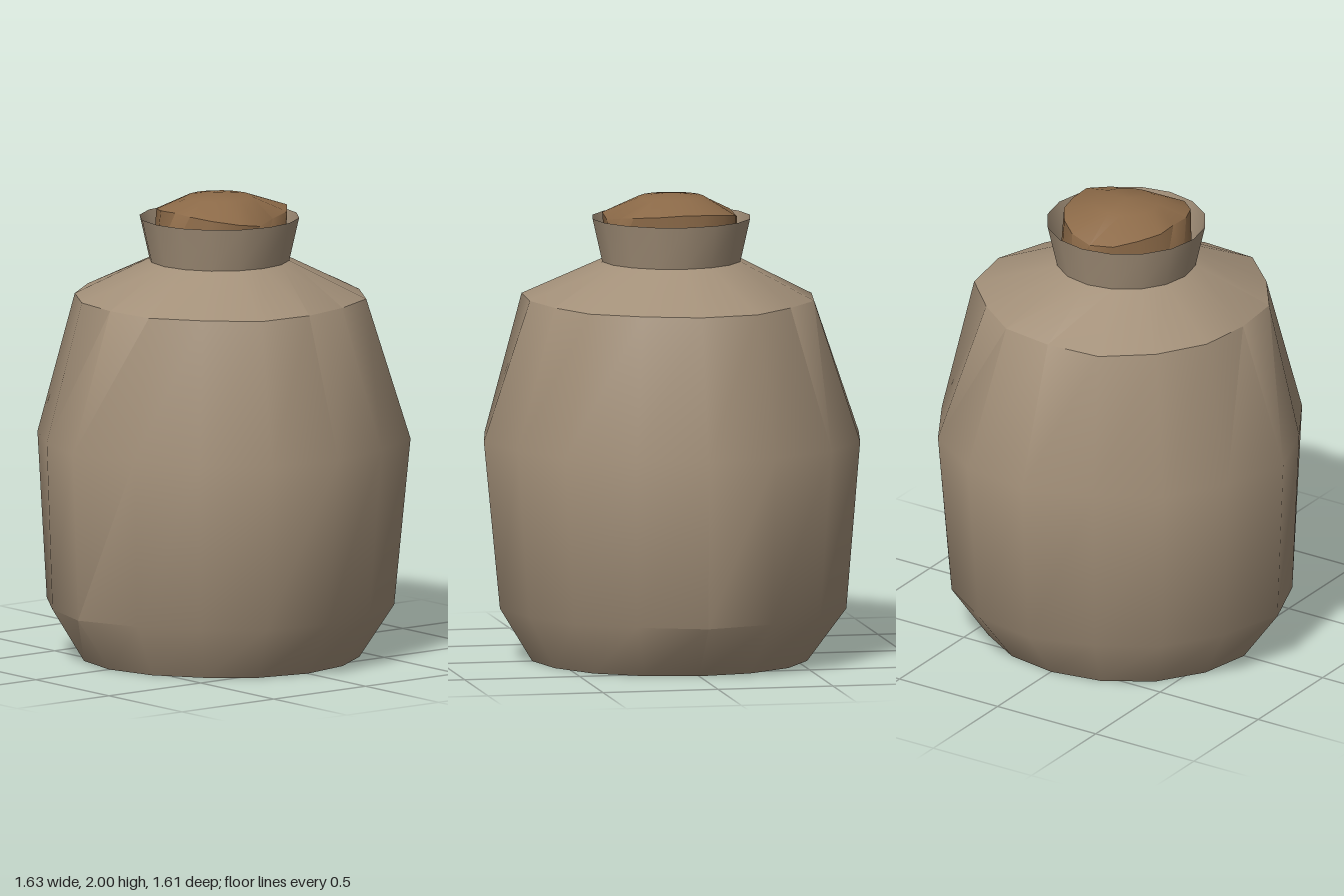
import * as THREE from 'three';
import { toCreasedNormals } from 'three/addons/utils/BufferGeometryUtils.js';

const SIDES = 16;

// Skin of stacked rings, bottom to top. Each ring: { y, r, top?, x?, z? }; r and y may be lists, one value per side.
function loft(rings, { capBottom = false, capTop = null, crease = 0.78 } = {}) {
  const pos = [], index = [];
  const at = (v, k) => (Array.isArray(v) ? v[k] : v);
  for (const ring of rings) {
    for (let k = 0; k < SIDES; k++) {
      const a = (k / SIDES) * Math.PI * 2, r = at(ring.r, k);
      pos.push(Math.cos(a) * r + (ring.x || 0), at(ring.y, k), Math.sin(a) * r + (ring.z || 0));
    }
  }
  for (let i = 0; i < rings.length - 1; i++) {
    for (let k = 0; k < SIDES; k++) {
      const n = (k + 1) % SIDES;
      const a = i * SIDES + k, b = i * SIDES + n, c = a + SIDES, d = b + SIDES;
      index.push(a, c, b, b, c, d);
    }
  }
  const addCap = (row, y, up) => {
    const centre = pos.length / 3;
    pos.push(0, y, 0);
    for (let k = 0; k < SIDES; k++) {
      const a = row * SIDES + k, b = row * SIDES + ((k + 1) % SIDES);
      if (up) index.push(centre, b, a);
      else index.push(centre, a, b);
    }
  };
  if (capBottom) addCap(0, rings[0].y, false);
  if (capTop !== null) addCap(rings.length - 1, capTop, true);
  const geo = new THREE.BufferGeometry();
  geo.setAttribute('position', new THREE.Float32BufferAttribute(pos, 3));
  geo.setIndex(index);
  return toCreasedNormals(geo, crease);
}

export function createModel() {
  const cloth = new THREE.MeshStandardMaterial({ color: 0xa39079, side: THREE.DoubleSide });
  cloth.name = 'sackcloth';
  const brown = new THREE.MeshStandardMaterial({ color: 0x8c6a48 });
  brown.name = 'brown filling';

  const group = new THREE.Group();
  group.name = 'sack';
  const add = (name, geo, mat) => {
    const mesh = new THREE.Mesh(geo, mat);
    mesh.name = name;
    group.add(mesh);
  };

  // Uneven outlines, starting at +x and turning towards +z
  const low = [0.745, 0.74, 0.71, 0.72, 0.77, 0.74, 0.74, 0.73, 0.76, 0.76, 0.76, 0.77, 0.8, 0.75, 0.75, 0.73];
  const belly = [0.815, 0.81, 0.765, 0.75, 0.8, 0.765, 0.78, 0.76, 0.815, 0.82, 0.82, 0.8, 0.805, 0.77, 0.82, 0.79];
  const shoulder = [0.615, 0.65, 0.61, 0.62, 0.595, 0.61, 0.62, 0.64, 0.61, 0.62, 0.61, 0.66, 0.652, 0.62, 0.63, 0.6];
  const base = [0.605, 0.6, 0.58, 0.59, 0.6, 0.6, 0.6, 0.59, 0.585, 0.59, 0.6, 0.6, 0.595, 0.59, 0.6, 0.6];

  // Bulging body up to the gathered neck
  add('body', loft([
    { y: 0, r: base },
    { y: 0.23, r: low },
    { y: 0.95, r: belly },
    { y: 1.55, r: shoulder },
    { y: 1.71, r: 0.3 },
  ], { capBottom: true }), cloth);

  // Flared open collar
  add('collar', loft([
    { y: 1.71, r: 0.3 },
    { y: 1.895, r: 0.342 },
  ]), cloth);

  // Lumpy heap inside the collar
  const rim = [0.28, 0.3, 0.28, 0.26, 0.24, 0.26, 0.27, 0.3, 0.285, 0.28, 0.27, 0.27, 0.27, 0.3, 0.29, 0.26];
  const rimY = rim.map((r, k) => 1.89 + 0.045 * Math.abs(Math.sin((k / SIDES) * Math.PI * 2)));
  add('filling', loft([
    { y: 1.72, r: 0.285 },
    { y: rimY, r: rim },
    { y: 1.983, r: 0.14 },
  ], { capTop: 2, crease: 1.0 }), brown);

  return group;
}
